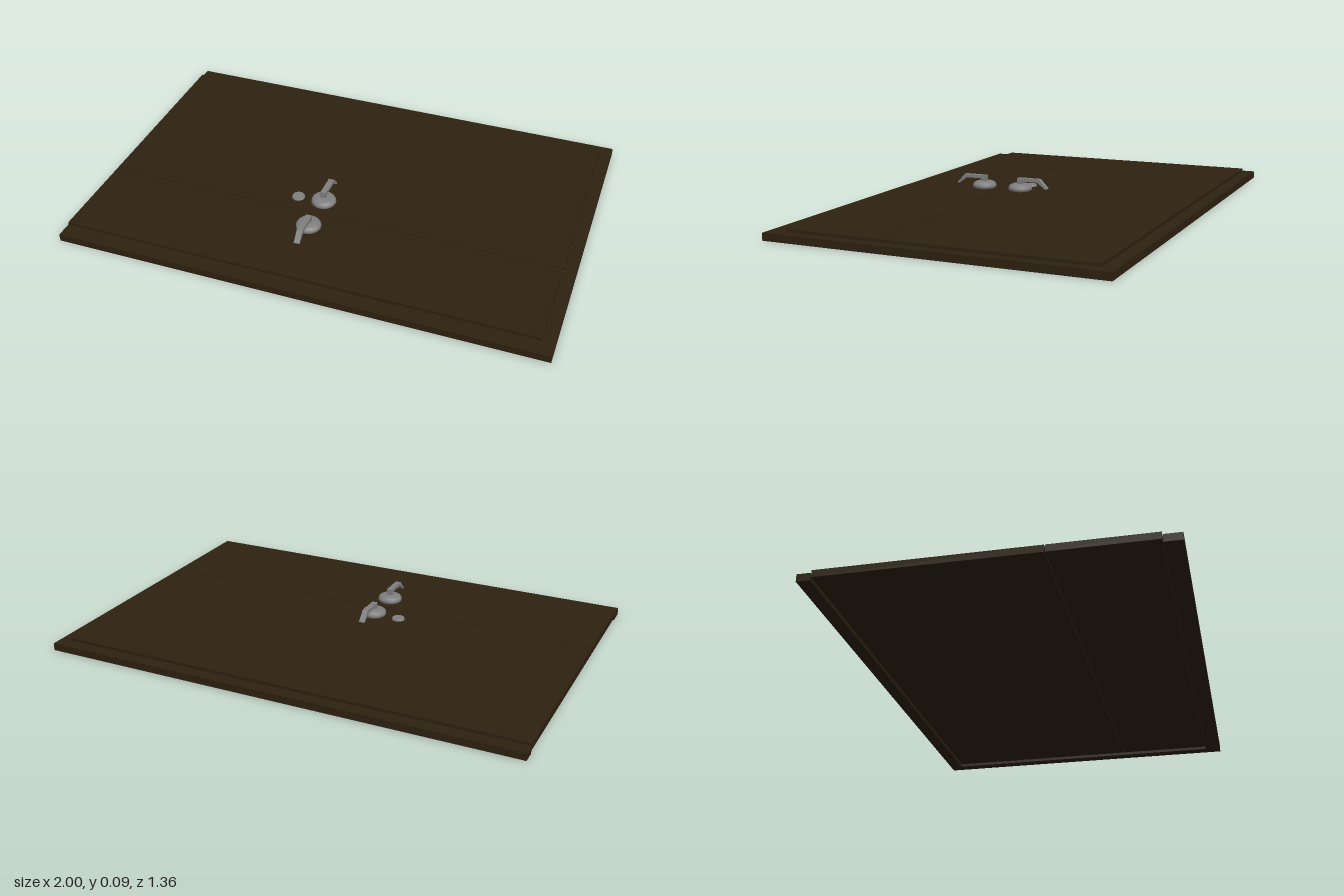
import * as THREE from 'three';

export function createModel() {
  const model = new THREE.Group();
  const wood = new THREE.MeshStandardMaterial({ color: 0x2e2110 });
  wood.name = 'darkWood';
  const metal = new THREE.MeshStandardMaterial({ color: 0x808080 });
  metal.name = 'greyMetal';

  const add = (parent, name, geometry, material) => {
    const mesh = new THREE.Mesh(geometry, material);
    mesh.name = name;
    parent.add(mesh);
    return mesh;
  };
  // box given by its limits on each axis
  const slab = (name, [x0, x1], [y0, y1], [z0, z1]) =>
    add(model, name, new THREE.BoxGeometry(x1 - x0, y1 - y0, z1 - z0), wood)
      .position.set((x0 + x1) / 2, (y0 + y1) / 2, (z0 + z1) / 2);

  // door frame: two jambs and a head, open at the threshold
  slab('backJamb', [-1, 1], [0, 0.03], [-0.68, -0.627]);
  slab('frontJamb', [-1, 1], [0, 0.03], [0.612, 0.68]);
  slab('head', [0.952, 1], [0, 0.03], [-0.627, 0.612]);

  // two leaves with a narrow seam, standing proud of the frame
  slab('wideLeaf', [-1, 0.95], [0.012, 0.04], [-0.624, 0.211]);
  slab('narrowLeaf', [-1, 0.95], [0.012, 0.04], [0.214, 0.609]);

  // rounded rose, and lever with its stem as one side profile
  const roseProfile = [[0, 0], [0.047, 0], [0.052, 0.006], [0.052, 0.014], [0.047, 0.023], [0.036, 0.029], [0, 0.03]]
    .map(([r, y]) => new THREE.Vector2(r, y));
  const roseGeometry = new THREE.LatheGeometry(roseProfile, 20);
  const leverShape = new THREE.Shape([
    [-0.009, 0.025], [0.009, 0.025], [0.009, 0.041], [0.084, 0.041], [0.122, 0.013],
    [0.13, 0.015], [0.093, 0.055], [-0.009, 0.055],
  ].map(([z, y]) => new THREE.Vector2(z, y)));
  const leverGeometry = new THREE.ExtrudeGeometry(leverShape, { depth: 0.024, bevelEnabled: false });
  leverGeometry.translate(0, 0, -0.012).rotateY(-Math.PI / 2);

  // mirrored pair of handles, levers pointing away from the seam
  for (const [name, z, turn] of [['frontHandle', 0.305, 0], ['backHandle', 0.133, Math.PI]]) {
    const handle = new THREE.Group();
    handle.name = name;
    add(handle, 'rose', roseGeometry, metal);
    add(handle, 'lever', leverGeometry, metal);
    handle.position.set(-0.07, 0.04, z);
    handle.rotation.y = turn;
    model.add(handle);
  }

  // lock cover beside the back handle
  add(model, 'lockCover', new THREE.CylinderGeometry(0.025, 0.028, 0.008, 16), metal)
    .position.set(-0.183, 0.044, 0.133);

  return model;
}
